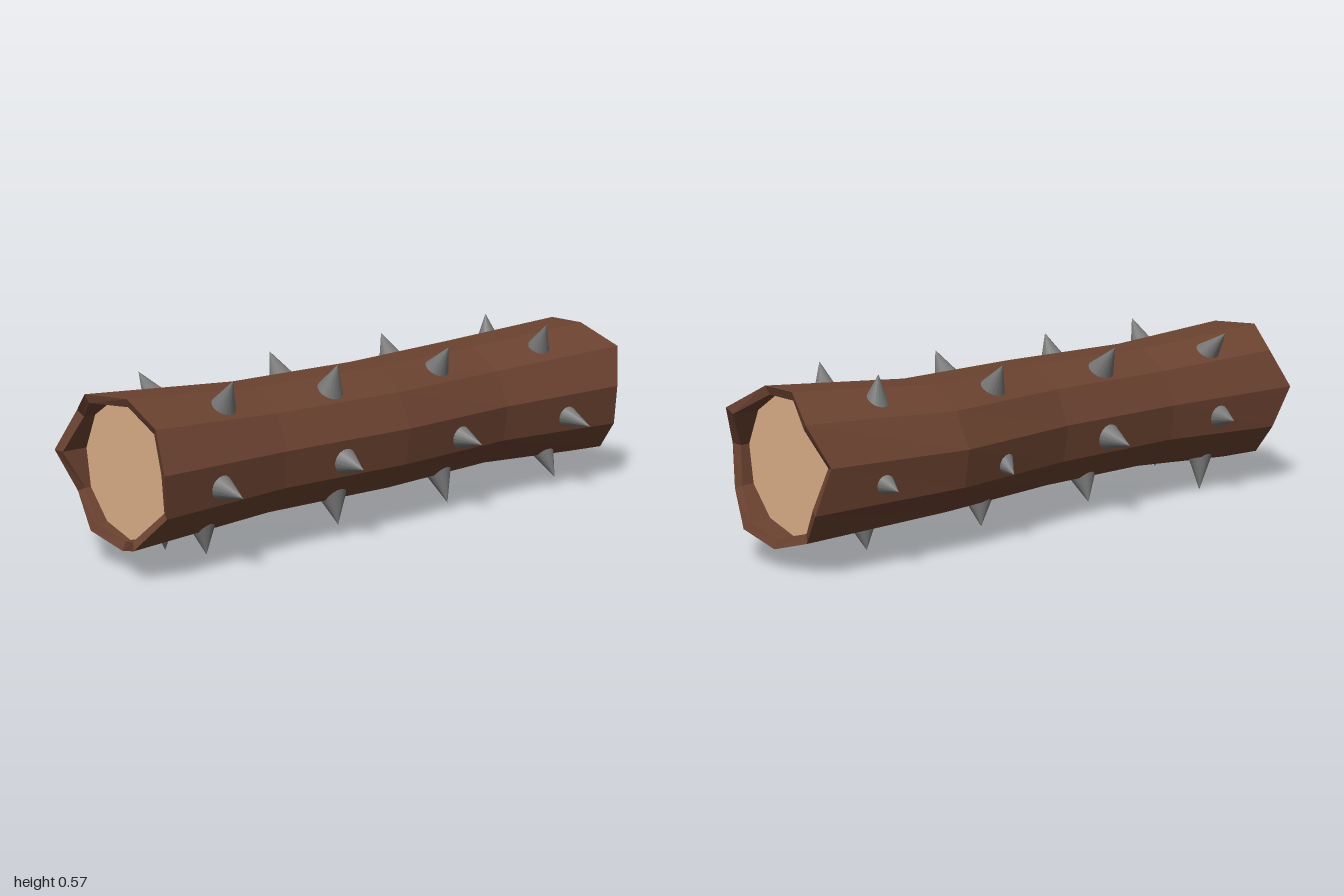
import * as THREE from 'three';

const SIDES = 11;
const START = -Math.PI / 2;
// Cross-sections of the trunk: z, centre x, centre y, radius x, radius y
const SECTIONS = [
  [0.95, -0.03, 0.304, 0.243, 0.24],
  [0.48, -0.012, 0.302, 0.207, 0.21],
  [0, 0, 0.3, 0.217, 0.211],
  [-0.46, -0.04, 0.3, 0.238, 0.212],
  [-0.95, 0.005, 0.304, 0.244, 0.241],
];
// Jagged end heights, anticlockwise from the lowest corner
const FRONT_Z = [0.93, 0.985, 0.93, 0.95, 0.935, 0.95, 1, 0.95, 0.995, 0.93, 0.95];
const BACK_Z = [-0.97, -0.985, -0.95, -0.94, -1, -0.94, -0.945, -0.985, -0.94, -0.985, -0.95];
const RIM = 0.885;
const CAP_Z = 0.9;

const barkMaterial = new THREE.MeshStandardMaterial({ color: 0x6b4230, flatShading: true });
const woodMaterial = new THREE.MeshStandardMaterial({ color: 0xdeb08a });
const spikeMaterial = new THREE.MeshStandardMaterial({ color: 0x777777 });

// One ring of corners; zs is a single depth or one depth per corner
function ring([z, cx, cy, rx, ry], scale = 1, zs = z) {
  return Array.from({ length: SIDES }, (_, i) => {
    const a = START + (i / SIDES) * Math.PI * 2;
    return [cx + Math.cos(a) * rx * scale, cy + Math.sin(a) * ry * scale, Array.isArray(zs) ? zs[i] : zs];
  });
}

// Bark skin: inner front wall, rim, outside, back rim, inner back wall
function barkGeometry() {
  const first = SECTIONS[0];
  const last = SECTIONS[SECTIONS.length - 1];
  const rings = [
    ring(first, RIM, CAP_Z),
    ring(first, RIM, FRONT_Z.map((z) => z - 0.01)),
    ring(first, 1, FRONT_Z),
    ...SECTIONS.slice(1, -1).map((s) => ring(s)),
    ring(last, 1, BACK_Z),
    ring(last, RIM, BACK_Z.map((z) => z + 0.01)),
    ring(last, RIM, -CAP_Z),
  ];
  const index = [];
  for (let r = 0; r < rings.length - 1; r++) {
    for (let i = 0; i < SIDES; i++) {
      const j = (i + 1) % SIDES;
      const a = r * SIDES + i, b = r * SIDES + j;
      const c = a + SIDES, d = b + SIDES;
      index.push(a, c, b, b, c, d);
    }
  }
  const geometry = new THREE.BufferGeometry();
  geometry.setAttribute('position', new THREE.Float32BufferAttribute(rings.flat(2), 3));
  geometry.setIndex(index);
  geometry.computeVertexNormals();
  return geometry;
}

// Cut wood face set inside an end
function cutFace(name, [, cx, cy, rx, ry], z) {
  const geometry = new THREE.CircleGeometry(1, SIDES, START);
  geometry.scale(rx * RIM, ry * RIM, 1);
  if (z < 0) geometry.rotateY(Math.PI);
  const mesh = new THREE.Mesh(geometry, woodMaterial);
  mesh.position.set(cx, cy, z);
  mesh.name = name;
  return mesh;
}

// Spike rows: angle around the trunk, then base z and tip x, y, z of each spike
const SPIKE_ROWS = {
  upperLeftSpike: [56, [[0.645, 0.15, 0.562, 0.65], [0.235, 0.142, 0.555, 0.235], [-0.23, 0.15, 0.55, -0.23], [-0.705, 0.15, 0.567, -0.685]]],
  upperRightSpike: [125, [[0.71, -0.218, 0.545, 0.72], [0.235, -0.19, 0.548, 0.23], [-0.245, -0.19, 0.548, -0.25], [-0.69, -0.14, 0.567, -0.69]]],
  leftSpike: [-11, [[0.73, 0.29, 0.25, 0.73], [0.25, 0.275, 0.25, 0.25], [-0.245, 0.285, 0.25, -0.25], [-0.73, 0.315, 0.24, -0.73]]],
  rightSpike: [190, [[0.69, -0.318, 0.27, 0.66], [0.19, -0.31, 0.255, 0.18], [-0.28, -0.285, 0.23, -0.29], [-0.745, -0.307, 0.255, -0.755]]],
  lowerLeftSpike: [-57, [[0.72, 0.1, 0.04, 0.72], [0.22, 0.13, 0.045, 0.225], [-0.25, 0.13, 0.03, -0.25], [-0.73, 0.155, 0.038, -0.735]]],
  lowerRightSpike: [-118, [[0.725, -0.13, 0, 0.7], [0.18, -0.14, 0.045, 0.165], [-0.28, -0.145, 0.045, -0.3], [-0.73, -0.13, 0.045, -0.735]]],
};

// Centre of the trunk at depth z
function centreAt(z) {
  const i = SECTIONS.findIndex((s, k) => k > 0 && z >= s[0]);
  const a = SECTIONS[i - 1], b = SECTIONS[i];
  const t = (a[0] - z) / (a[0] - b[0]);
  return new THREE.Vector3(THREE.MathUtils.lerp(a[1], b[1], t), THREE.MathUtils.lerp(a[2], b[2], t), z);
}

// Cone from a point just under the bark to its tip
function spike(name, degrees, [z, ...tipXYZ]) {
  const a = THREE.MathUtils.degToRad(degrees);
  const base = centreAt(z).add(new THREE.Vector3(Math.cos(a), Math.sin(a), 0).multiplyScalar(0.18));
  const tip = new THREE.Vector3(...tipXYZ);
  const axis = tip.clone().sub(base);
  const mesh = new THREE.Mesh(new THREE.ConeGeometry(0.052, axis.length(), 16), spikeMaterial);
  mesh.position.copy(base).add(tip).multiplyScalar(0.5);
  mesh.quaternion.setFromUnitVectors(new THREE.Vector3(0, 1, 0), axis.normalize());
  mesh.name = name;
  return mesh;
}

export function createModel() {
  const model = new THREE.Group();
  model.name = 'spikedLog';

  const bark = new THREE.Mesh(barkGeometry(), barkMaterial);
  bark.name = 'bark';
  model.add(bark);

  model.add(cutFace('frontCutFace', SECTIONS[0], CAP_Z));
  model.add(cutFace('backCutFace', SECTIONS[SECTIONS.length - 1], -CAP_Z));

  const spikes = new THREE.Group();
  spikes.name = 'spikes';
  for (const [name, [degrees, list]] of Object.entries(SPIKE_ROWS)) {
    list.forEach((entry, i) => spikes.add(spike(`${name}${i + 1}`, degrees, entry)));
  }
  model.add(spikes);
  return model;
}
